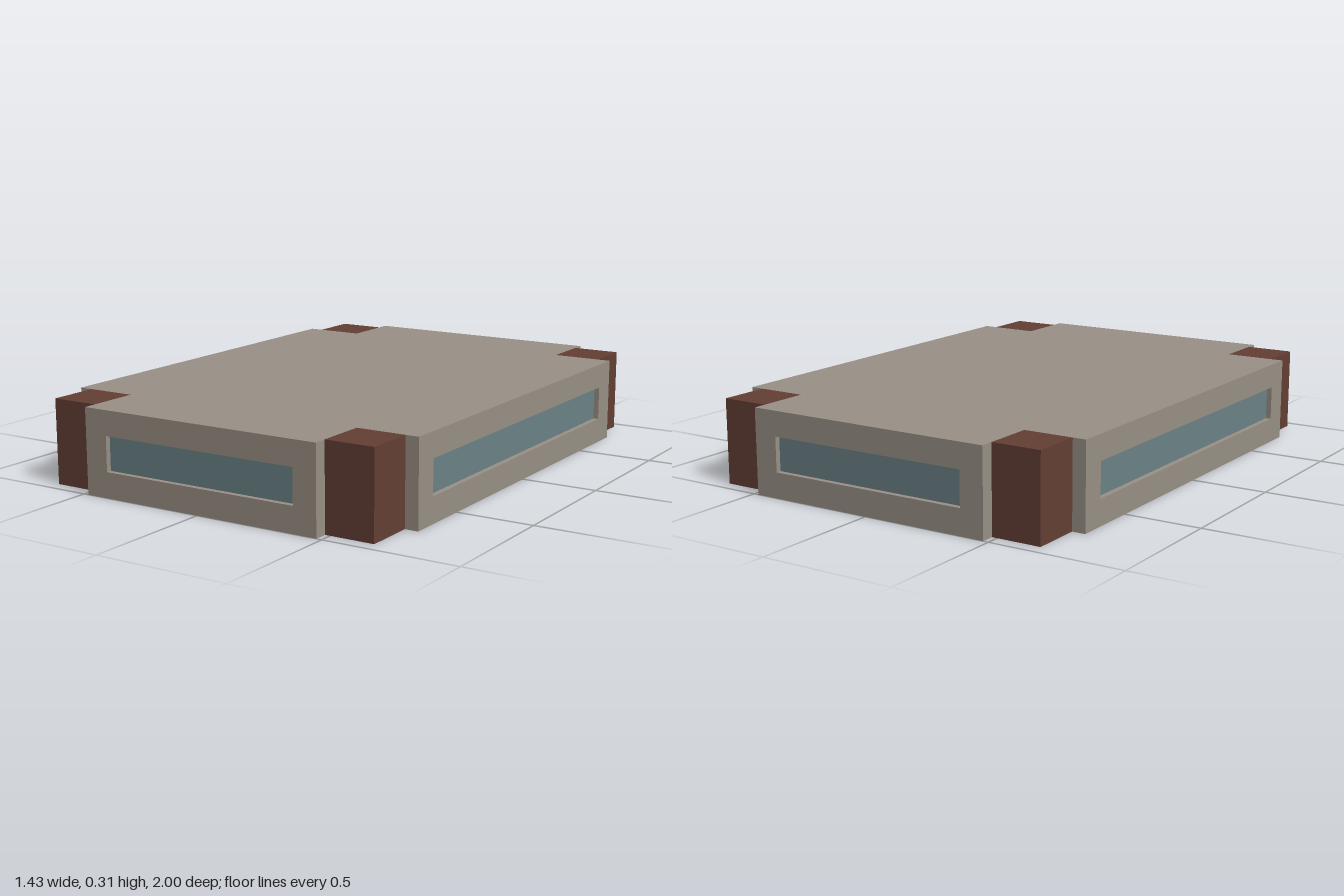
import * as THREE from 'three';

const H = 0.315, FRAME = 0.03, RECESS = 0.02;
const SILL = 0.095, HEAD = 0.223;
const BODY = { x: 0.715, z: 1.0 };   // outer faces
const NOTCH = { x: 0.48, z: 0.76 };  // inner corner of each notch
const PIER = { x: 0.665, z: 0.95 };  // outer corner of each pier

const stone = new THREE.MeshStandardMaterial({ color: 0x999186 });
const brick = new THREE.MeshStandardMaterial({ color: 0x633f34 });
const glass = new THREE.MeshStandardMaterial({ color: 0x6b8286 });

function rectPath(PathType, w, y0, y1) {
  const p = new PathType();
  p.moveTo(-w, y0);
  p.lineTo(w, y0);
  p.lineTo(w, y1);
  p.lineTo(-w, y1);
  p.closePath();
  return p;
}

function addMesh(parent, name, geometry, material) {
  const mesh = new THREE.Mesh(geometry, material);
  mesh.name = name;
  parent.add(mesh);
  return mesh;
}

// Wall with a window opening and a recessed pane, outer face at z = reach
function makeWall(name, halfWidth, halfWindow, reach) {
  const wall = new THREE.Group();
  wall.name = name;
  const shape = rectPath(THREE.Shape, halfWidth, 0, H);
  shape.holes.push(rectPath(THREE.Path, halfWindow, SILL, HEAD));
  const frame = new THREE.ExtrudeGeometry(shape, { depth: FRAME, bevelEnabled: false });
  addMesh(wall, 'windowWall', frame, stone).position.z = reach - FRAME;

  const depth = FRAME - RECESS;
  const pane = new THREE.BoxGeometry(halfWindow * 2, HEAD - SILL, depth);
  addMesh(wall, 'windowPane', pane, glass)
    .position.set(0, (SILL + HEAD) / 2, reach - RECESS - depth / 2);
  return wall;
}

export function createModel() {
  const model = new THREE.Group();
  model.name = 'buildingStorey';

  // Cross-shaped core, held back by the thickness of the window walls
  const x = BODY.x - FRAME, z = BODY.z - FRAME, nx = NOTCH.x, nz = NOTCH.z;
  const plan = new THREE.Shape([
    [nx, -z], [nx, -nz], [x, -nz], [x, nz], [nx, nz], [nx, z],
    [-nx, z], [-nx, nz], [-x, nz], [-x, -nz], [-nx, -nz], [-nx, -z],
  ].map(([a, b]) => new THREE.Vector2(a, b)));
  const core = new THREE.ExtrudeGeometry(plan, { depth: H, bevelEnabled: false });
  core.rotateX(-Math.PI / 2);
  addMesh(model, 'core', core, stone);

  // Four window walls
  ['front', 'left', 'back', 'right'].forEach((side, i) => {
    const wall = i % 2
      ? makeWall(side + 'Wall', NOTCH.z, 0.665, BODY.x)
      : makeWall(side + 'Wall', NOTCH.x, 0.39, BODY.z);
    wall.rotation.y = i * Math.PI / 2;
    model.add(wall);
  });

  // Corner piers filling the notches
  const pier = new THREE.BoxGeometry(PIER.x - NOTCH.x, H, PIER.z - NOTCH.z);
  for (const sx of [-1, 1]) {
    for (const sz of [-1, 1]) {
      const name = (sz > 0 ? 'front' : 'back') + (sx > 0 ? 'Left' : 'Right') + 'Pier';
      addMesh(model, name, pier, brick)
        .position.set(sx * (PIER.x + NOTCH.x) / 2, H / 2, sz * (PIER.z + NOTCH.z) / 2);
    }
  }
  return model;
}
